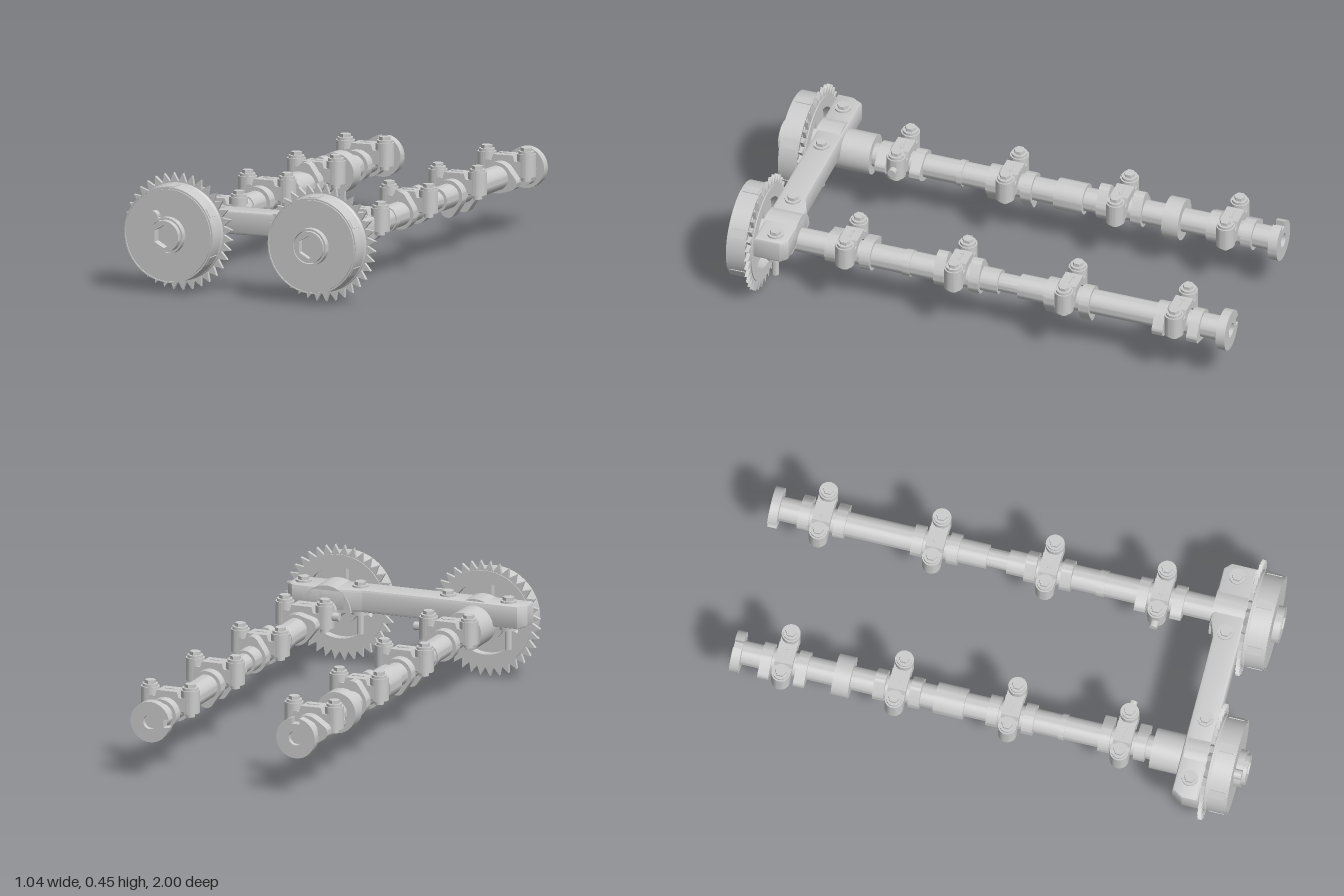
import * as THREE from 'three';
import { toCreasedNormals } from 'three/addons/utils/BufferGeometryUtils.js';

const grey = new THREE.MeshStandardMaterial({ color: 0xcccccc });
const Y = 0.228; // height of both shaft axes

function add(parent, name, geo, x = 0, y = 0, z = 0) {
  const m = new THREE.Mesh(toCreasedNormals(geo, 0.5), grey);
  m.name = name;
  m.position.set(x, y, z);
  parent.add(m);
  return m;
}

// cylinder along z, from z0 to z1
function rod(parent, name, r, z0, z1, x = 0, y = 0, sides = 40) {
  const g = new THREE.CylinderGeometry(r, r, z1 - z0, sides).rotateX(Math.PI / 2);
  return add(parent, name, g, x, y, (z0 + z1) / 2);
}

// vertical cylinder, from y0 to y1
function post(parent, name, r, y0, y1, x, z, sides = 24) {
  return add(parent, name, new THREE.CylinderGeometry(r, r, y1 - y0, sides), x, (y0 + y1) / 2, z);
}

function slab(shape, depth) {
  return new THREE.ExtrudeGeometry(shape, { depth, bevelEnabled: false, curveSegments: 20 });
}

function polygonPath(Type, r, n, turn = 0) {
  const p = new Type();
  for (let i = 0; i < n; i++) {
    const a = turn + (i / n) * Math.PI * 2;
    p[i ? 'lineTo' : 'moveTo'](r * Math.cos(a), r * Math.sin(a));
  }
  p.closePath();
  return p;
}

// egg-shaped cam lobe with its nose along +x
function lobeShape() {
  const R = 0.06, r = 0.03, d = 0.054, a = Math.acos((R - r) / d);
  const s = new THREE.Shape();
  s.absarc(0, 0, R, a, Math.PI * 2 - a, false);
  s.absarc(d, 0, r, -a, a, false);
  return s;
}

// disc at the rear end, with a side notch and a centre bore
function endDiscShape() {
  const s = new THREE.Shape();
  s.absarc(0, 0, 0.079, 0.2, Math.PI * 2 - 0.2, false);
  s.lineTo(0.055, -0.016);
  s.lineTo(0.055, 0.016);
  s.closePath();
  s.holes.push(polygonPath(THREE.Path, 0.028, 24));
  return s;
}

function camshaft(name, x, segments, noses, notch) {
  const g = new THREE.Group();
  g.name = name;
  g.position.set(x, Y, 0);
  for (const [z0, z1, r] of segments) rod(g, 'shaftSection', r, z0, z1);
  // two lobes for each bearing cap
  [0.515, 0.08, -0.36, -0.8].forEach((z, i) => {
    for (const side of [-1, 1]) {
      const lobe = add(g, 'camLobe', slab(lobeShape(), 0.042), 0, 0, z + side * 0.069 - 0.021);
      lobe.rotation.z = noses[i];
    }
  });
  const disc = add(g, 'endDisc', slab(endDiscShape(), 0.035), 0, 0, -1);
  disc.rotation.z = notch;
  return g;
}

function flangeBolt(parent, x, z, y, r = 0.03) {
  post(parent, 'boltFlange', r, y, y + 0.01, x, z);
  post(parent, 'boltHead', r * 0.72, y + 0.01, y + 0.023, x, z, 6);
}

// bearing cap: arched saddle, two round ears, bolts and direction mark
function bearingCap(x, z, dir) {
  const g = new THREE.Group();
  g.name = 'bearingCap';
  g.position.set(x, 0, z);
  const s = new THREE.Shape();
  s.moveTo(0.08, 0.232);
  s.lineTo(0.08, 0.285);
  s.lineTo(0.048, 0.285);
  s.lineTo(0.04, 0.308);
  s.lineTo(-0.04, 0.308);
  s.lineTo(-0.048, 0.285);
  s.lineTo(-0.08, 0.285);
  s.lineTo(-0.08, 0.232);
  s.lineTo(-0.048, 0.232);
  s.absarc(0, 0.232, 0.048, Math.PI, 0, true);
  add(g, 'capSaddle', slab(s, 0.07), 0, 0, -0.035);
  for (const side of [-1, 1]) {
    post(g, 'capEar', 0.036, 0.225, 0.313, side * 0.082, 0);
    post(g, 'capDowel', 0.018, 0.208, 0.226, side * 0.082, 0);
    flangeBolt(g, side * 0.082, 0, 0.313);
  }
  add(g, 'directionMark', new THREE.BoxGeometry(0.04, 0.003, 0.005), 0, 0.309, 0);
  const tip = add(g, 'directionMarkTip', new THREE.CylinderGeometry(0.009, 0.009, 0.003, 3), dir * 0.02, 0.309, 0);
  tip.rotation.y = dir * Math.PI / 2;
  return g;
}

function sprocket(x, withPin) {
  const g = new THREE.Group();
  g.name = 'camSprocket';
  g.position.set(x, Y, 0);
  // toothed rim with pointed teeth
  const n = 36, s = new THREE.Shape();
  for (let i = 0; i < n * 2; i++) {
    const a = Math.PI / 2 + (i + 1) * Math.PI / n, r = i % 2 ? 0.19 : 0.225;
    s[i ? 'lineTo' : 'moveTo'](r * Math.cos(a), r * Math.sin(a));
  }
  s.closePath();
  s.holes.push(polygonPath(THREE.Path, 0.14, 48));
  add(g, 'toothedRim', slab(s, 0.014), 0, 0, 0.854);
  // drum, hollow at the back, with a groove round the front face
  const profile = [[0, 0.84], [0.085, 0.84], [0.085, 0.885], [0.14, 0.885], [0.14, 0.85], [0.188, 0.85],
    [0.188, 0.874], [0.183, 0.878], [0.183, 0.955], [0.179, 0.955], [0.179, 0.95], [0.175, 0.95],
    [0.175, 0.956], [0, 0.956]].map(p => new THREE.Vector2(...p));
  add(g, 'drum', new THREE.LatheGeometry(profile, 72).rotateX(Math.PI / 2).scale(1, 1, -1).scale(1, 1, -1));
  for (let i = 0; i < 6; i++) {
    const a = Math.PI / 2 + i * Math.PI / 3;
    const pad = add(g, 'drumPad', new THREE.BoxGeometry(0.006, 0.036, 0.06), 0.182 * Math.cos(a), 0.182 * Math.sin(a), 0.915);
    pad.rotation.z = a;
  }
  // vanes in the rear recess
  for (let i = 0; i < 3; i++) {
    const a = Math.PI / 2 + i * Math.PI * 2 / 3;
    const vane = add(g, 'rearVane', new THREE.BoxGeometry(0.06, 0.05, 0.03), 0.11 * Math.cos(a), 0.11 * Math.sin(a), 0.872);
    vane.rotation.z = a;
  }
  // centre bolt with a hexagonal socket
  const front = withPin ? 0.998 : 0.985;
  const head = polygonPath(THREE.Shape, 0.06, 48);
  head.holes.push(polygonPath(THREE.Path, 0.044, 6, Math.PI / 2));
  add(g, 'centreBolt', slab(head, front - 0.955), 0, 0, 0.955);
  rod(g, 'boltCollar', 0.071, 0.95, 0.962);
  const ring = polygonPath(THREE.Shape, 0.071, 48);
  ring.holes.push(polygonPath(THREE.Path, 0.064, 48));
  add(g, 'boltRing', slab(ring, 0.025), 0, 0, 0.958);
  if (withPin) {
    rod(g, 'locatingPin', 0.019, 0.95, 0.985, -0.052, 0.073, 24);
    const web = add(g, 'pinWeb', new THREE.BoxGeometry(0.03, 0.012, 0.025), -0.038, 0.062, 0.968);
    web.rotation.z = -0.95;
  }
  return g;
}

// bridge across both shafts behind the sprockets
function bridge() {
  const g = new THREE.Group();
  g.name = 'frontBearingBridge';
  const pts = [[-0.49, 0.84], [-0.49, 0.79], [-0.47, 0.755], [0.16, 0.755], [0.225, 0.73], [0.43, 0.73], [0.45, 0.75], [0.45, 0.84]];
  const plan = new THREE.Shape(pts.map(([x, z]) => new THREE.Vector2(x, -z)).reverse());
  const bar = new THREE.ExtrudeGeometry(plan, { depth: 0.07, bevelThickness: 0.01, bevelSize: 0.01, bevelSegments: 2 });
  add(g, 'bridgeBar', bar.rotateX(-Math.PI / 2), 0, 0.239, 0);
  for (const [x, z0] of [[-0.3, 0.755], [0.295, 0.72]]) {
    const arch = new THREE.Shape();
    arch.absarc(0, 0, 0.1, 0, Math.PI, false);
    arch.absarc(0, 0, 0.05, Math.PI, 0, true);
    add(g, 'bridgeSaddle', slab(arch, 0.848 - z0), x, Y, z0);
  }
  for (const [x, z] of [[-0.418, 0.8], [-0.172, 0.8], [0.183, 0.79], [0.41, 0.78]]) {
    flangeBolt(g, x, z, 0.316, 0.031);
    post(g, 'boltShank', 0.013, 0.133, 0.24, x, z, 16);
    post(g, 'boltBoss', 0.035, 0.212, 0.25, x, z);
  }
  return g;
}

export function createModel() {
  const model = new THREE.Group();
  model.name = 'camshaftAssembly';
  const PI = Math.PI;
  // shaft sections as [rear z, front z, radius]
  model.add(camshaft('rightCamshaft', -0.3, [[-0.98, 0.86, 0.046], [-0.605, -0.54, 0.08], [-0.215, -0.1, 0.06],
    [0.27, 0.29, 0.051], [0.63, 0.77, 0.078]], [0, -PI / 2, PI / 2, PI], PI / 2));
  model.add(camshaft('leftCamshaft', 0.295, [[-0.98, -0.16, 0.047], [-0.17, -0.07, 0.036], [-0.08, 0.86, 0.047],
    [0.27, 0.3, 0.051]], [PI * 0.9, PI / 2, -PI / 2, -PI * 0.1], PI));
  for (const z of [0.515, 0.08, -0.36, -0.8]) {
    model.add(bearingCap(-0.293, z, 1), bearingCap(0.295, z, -1));
  }
  // small side plugs on the inner ears of the foremost caps
  for (const side of [-1, 1]) {
    const plug = new THREE.CylinderGeometry(0.016, 0.016, 0.03, 16).rotateZ(PI / 2);
    add(model, 'capSidePlug', plug, side * 0.168, 0.27, 0.515);
  }
  model.add(bridge(), sprocket(-0.3, true), sprocket(0.295, false));
  return model;
}
